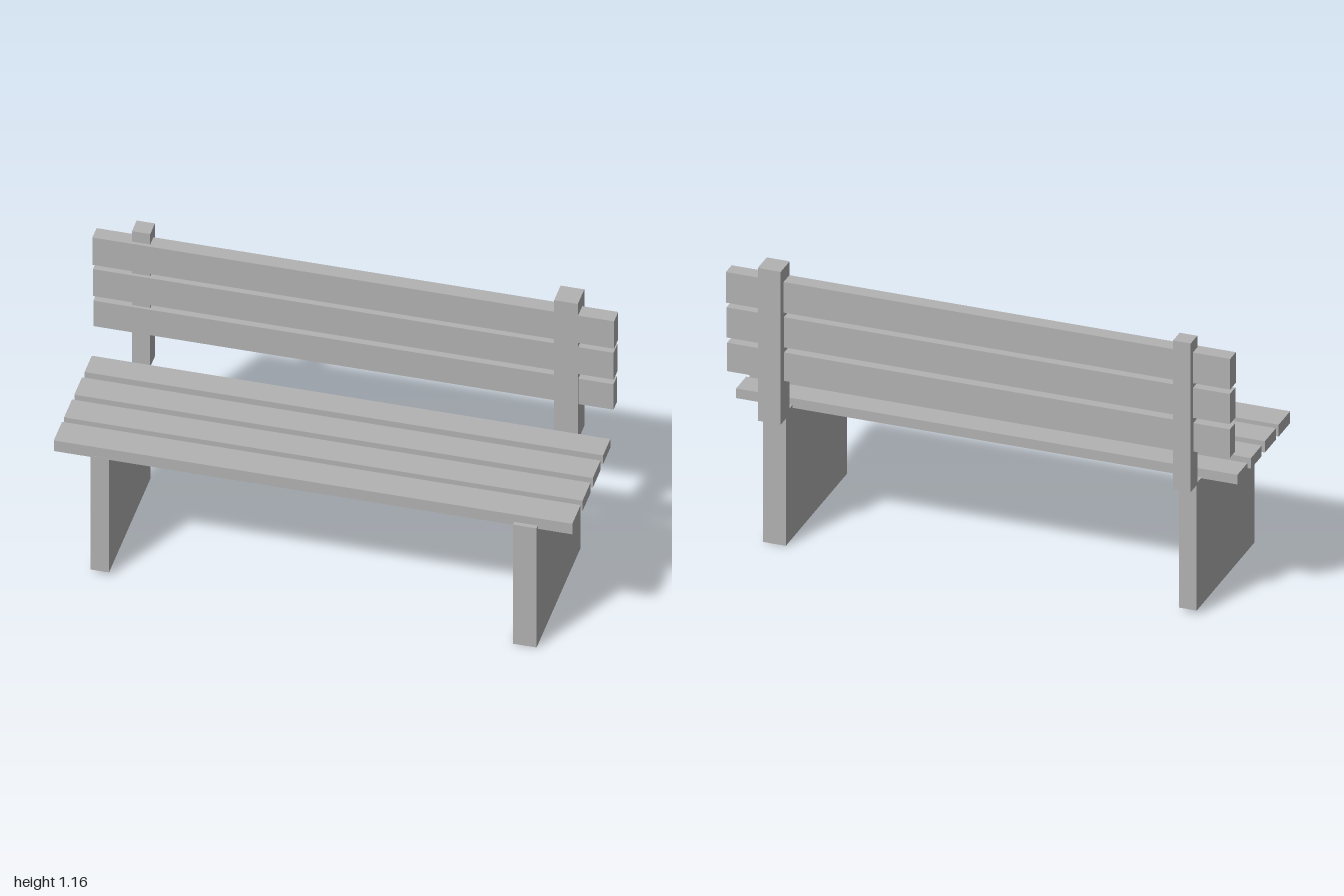
import * as THREE from 'three';

export function createModel() {
  const bench = new THREE.Group();
  bench.name = 'bench';
  const grey = new THREE.MeshStandardMaterial({ color: 0xb2b2b2 });
  grey.name = 'grey';

  // Box given by its lower and upper limits on each axis
  const block = (name, [x0, x1], [y0, y1], [z0, z1]) => {
    const mesh = new THREE.Mesh(new THREE.BoxGeometry(x1 - x0, y1 - y0, z1 - z0), grey);
    mesh.position.set((x0 + x1) / 2, (y0 + y1) / 2, (z0 + z1) / 2);
    mesh.name = name;
    bench.add(mesh);
  };

  // Slab legs and back posts; the left pair is slightly thicker
  const leftX = [0.771, 0.862], rightX = [-0.852, -0.782];
  block('leftLeg', leftX, [0, 0.553], [-0.289, 0.344]);
  block('rightLeg', rightX, [0.016, 0.545], [-0.272, 0.327]);
  block('leftBackPost', leftX, [0.528, 1.162], [-0.342, -0.249]);
  block('rightBackPost', rightX, [0.537, 1.154], [-0.334, -0.266]);

  // Seat slats, front to back: y range, z range
  [
    [[0.538, 0.587], [0.207, 0.326]],
    [[0.539, 0.586], [0.064, 0.178]],
    [[0.540, 0.584], [-0.080, 0.031]],
    [[0.541, 0.581], [-0.221, -0.117]],
  ].forEach(([y, z], i) => block(`seatSlat${i + 1}`, [-0.994, 0.994], y, z));

  // Backrest slats, top to bottom: half length, y range, z range
  [
    [1, [0.979, 1.106], [-0.312, -0.252]],
    [0.998, [0.834, 0.959], [-0.310, -0.253]],
    [0.997, [0.693, 0.811], [-0.307, -0.255]],
  ].forEach(([h, y, z], i) => block(`backSlat${i + 1}`, [-h, h], y, z));

  return bench;
}
